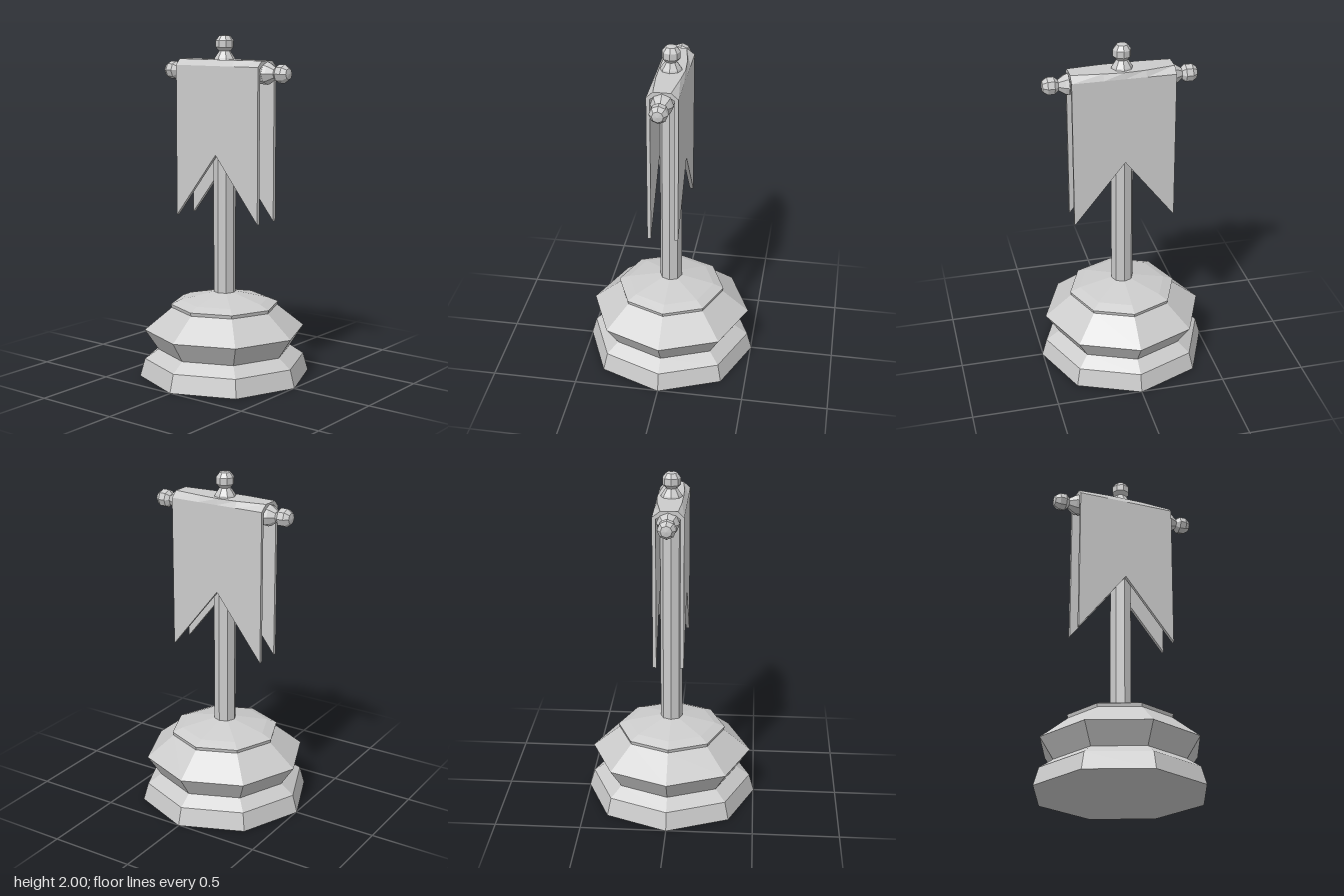
import * as THREE from 'three';

const material = new THREE.MeshStandardMaterial({ color: 0xcccccc, flatShading: true });

function addMesh(parent, name, geometry) {
  const mesh = new THREE.Mesh(geometry, material);
  mesh.name = name;
  parent.add(mesh);
  return mesh;
}

// Eight-sided turned part from [radius, height] pairs
function turned(profile) {
  return new THREE.LatheGeometry(profile.map(([r, y]) => new THREE.Vector2(r, y)), 8);
}

// Folded cloth: one U-shaped section per station along z
function bannerGeometry() {
  // z, right and left edge of the flat top
  const stations = [
    [-0.29, 0.042, -0.055], [-0.12, 0.072, -0.066], [0, 0.08, -0.067],
    [0.12, 0.07, -0.065], [0.3, 0.048, -0.05],
  ];
  const out = 0.088, inn = 0.067, shoulder = 1.825, top = 1.86;
  const sections = stations.map(([z, r, l]) => {
    const hem = 1.315 - 0.375 * Math.abs(z) / (z < 0 ? 0.29 : 0.3); // swallowtail cut
    return [
      [out, hem], [out, shoulder], [r, top], [l, top], [-out, shoulder], [-out, hem],
      [-inn, hem], [-inn, shoulder - 0.01], [l + 0.015, top - 0.02],
      [r - 0.015, top - 0.02], [inn, shoulder - 0.01], [inn, hem],
    ].map(([x, y]) => new THREE.Vector3(x, y, z));
  });
  const n = sections[0].length, last = sections.length - 1;
  const index = [];
  for (let k = 0; k < last; k++) {
    for (let i = 0; i < n; i++) {
      const j = (i + 1) % n, a = k * n, b = a + n;
      index.push(a + i, a + j, b + i, a + j, b + j, b + i);
    }
  }
  // Close both ends
  const cap = (k, flip) => {
    const outline = sections[k].map((p) => new THREE.Vector2(p.x, p.y));
    for (const [a, b, c] of THREE.ShapeUtils.triangulateShape(outline, [])) {
      index.push(k * n + a, k * n + (flip ? c : b), k * n + (flip ? b : c));
    }
  };
  cap(0, true);
  cap(last, false);
  const geometry = new THREE.BufferGeometry().setFromPoints(sections.flat());
  geometry.setIndex(index);
  const flat = geometry.toNonIndexed();
  flat.computeVertexNormals();
  return flat;
}

export function createModel() {
  const group = new THREE.Group();

  // Stepped octagonal pedestal
  addMesh(group, 'pedestal', turned([
    [0, 0], [0.505, 0], [0.475, 0.105], [0.395, 0.16], [0.475, 0.28],
    [0.315, 0.41], [0.32, 0.43], [0.26, 0.455], [0.065, 0.5], [0, 0.5],
  ]));

  // Upright pole
  addMesh(group, 'pole', turned([[0, 0.48], [0.065, 0.48], [0.065, 1.85], [0, 1.85]]));

  // Crossbar hidden under the cloth
  const bar = addMesh(group, 'crossbar', turned([[0, -0.285], [0.062, -0.285], [0.062, 0.3], [0, 0.3]]));
  bar.rotation.x = Math.PI / 2;
  bar.position.y = 1.79;

  // Matching finials on the pole and both bar ends
  const finial = turned([
    [0, 0], [0.065, 0], [0.058, 0.02], [0.032, 0.058], [0.052, 0.08],
    [0.052, 0.118], [0.032, 0.145], [0, 0.15],
  ]);
  addMesh(group, 'topFinial', finial).position.y = 1.85;
  for (const [name, z, turn] of [['frontFinial', 0.303, 1], ['backFinial', -0.282, -1]]) {
    const end = addMesh(group, name, finial);
    end.position.set(0, 1.79, z);
    end.rotation.x = turn * Math.PI / 2;
  }

  // Swallowtail banner draped over the crossbar
  addMesh(group, 'banner', bannerGeometry());

  return group;
}
